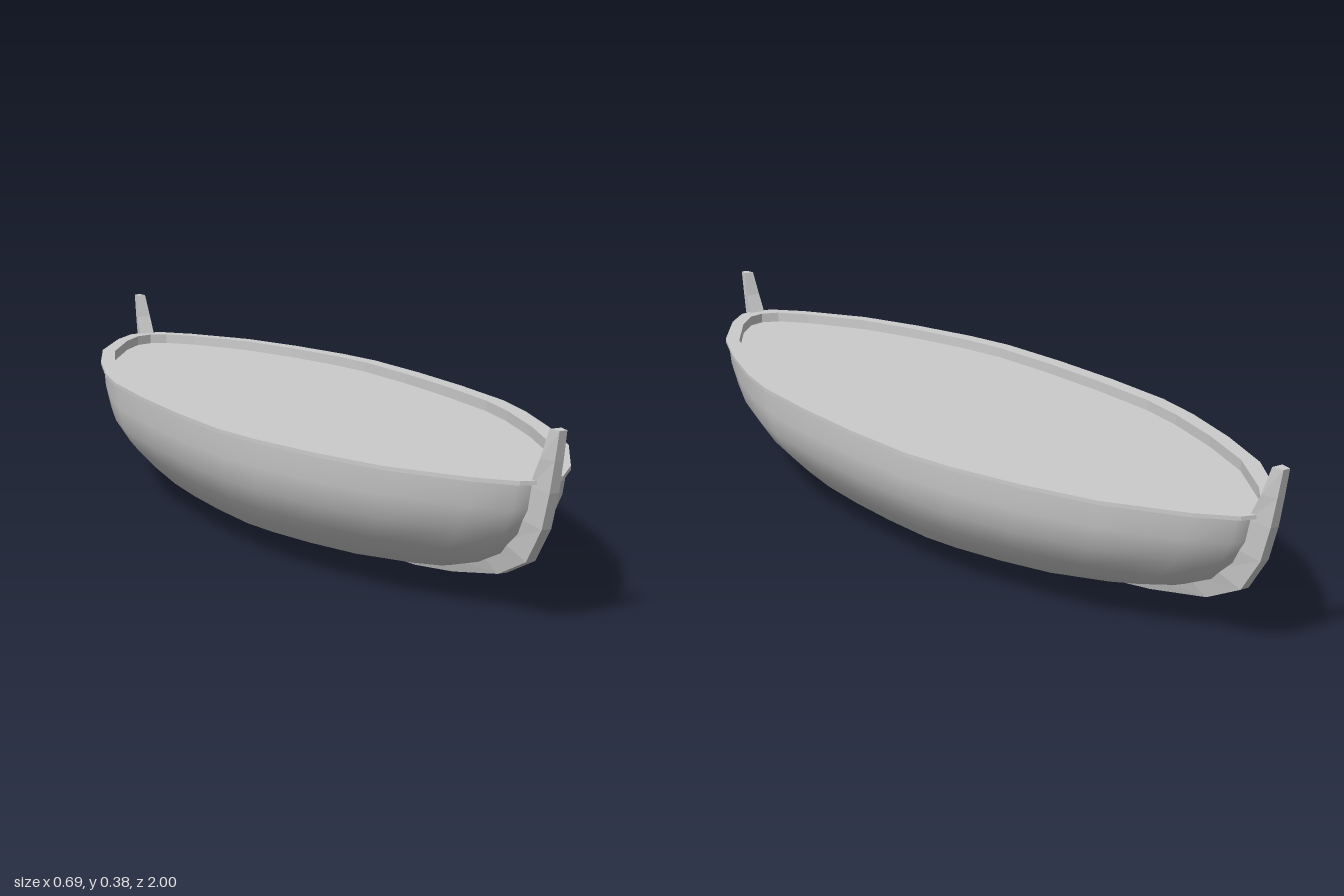
import * as THREE from 'three';

const material = new THREE.MeshStandardMaterial({ color: 0xcccccc });
const flatMaterial = new THREE.MeshStandardMaterial({ color: 0xcccccc, flatShading: true });

// Skin a list of closed rings; the ends may be capped
function loft(rings, capStart, capEnd) {
  const n = rings[0].length;
  const positions = rings.flat(2);
  const index = [];
  for (let r = 0; r < rings.length - 1; r++) {
    for (let i = 0; i < n; i++) {
      const j = (i + 1) % n;
      const a = r * n + i, b = r * n + j, c = a + n, d = b + n;
      index.push(a, b, d, a, d, c);
    }
  }
  const last = (rings.length - 1) * n;
  for (let i = 1; i < n - 1; i++) {
    if (capStart) index.push(0, i + 1, i);
    if (capEnd) index.push(last, last + i, last + i + 1);
  }
  const geometry = new THREE.BufferGeometry();
  geometry.setAttribute('position', new THREE.Float32BufferAttribute(positions, 3));
  geometry.setIndex(index);
  geometry.computeVertexNormals();
  return geometry;
}

// One quarter of the boat outline as fractions of half-width and half-length
const quarter = [[0, 1], [0.13, 0.985], [0.3, 0.92], [0.58, 0.765], [0.76, 0.6],
  [0.9, 0.43], [0.97, 0.3], [1, 0.1]];
const half = [...quarter, ...quarter.map(([u, v]) => [u, -v]).reverse()];
const outline = [...half, ...half.slice(1, -1).reverse().map(([u, v]) => [-u, v])];
const ring = (y, width, length) => outline.map(([u, v]) => [u * width, y, v * length]);

function add(group, name, geometry, mat) {
  const mesh = new THREE.Mesh(geometry, mat);
  mesh.name = name;
  group.add(mesh);
}

export function createModel() {
  const boat = new THREE.Group();
  boat.name = 'boat';

  // Rounded hull, from the flat bottom up to the rim
  const hullRings = [
    [0.02, 0.15, 0.45], [0.035, 0.2, 0.57], [0.05, 0.235, 0.66], [0.085, 0.27, 0.77],
    [0.12, 0.3, 0.845], [0.17, 0.33, 0.9], [0.22, 0.338, 0.93], [0.272, 0.34, 0.943],
  ].map((r) => ring(...r));
  add(boat, 'hull', loft(hullRings), material);
  add(boat, 'hullBottom', loft([hullRings[0], hullRings[0]], true, false), flatMaterial);

  // Flat rim with a short inner wall down to the deck
  const deckY = 0.255;
  const inner = ring(deckY, 0.31, 0.912);
  add(boat, 'rim', loft([
    ring(0.27, 0.335, 0.938), ring(0.27, 0.346, 0.953), ring(0.278, 0.346, 0.953),
    ring(0.278, 0.31, 0.912), inner,
  ]), flatMaterial);
  add(boat, 'deck', loft([inner, inner], false, true), flatMaterial);

  // Keel and end posts: outer z, y, inner z, y, outer and inner half-width
  const keelHalf = [
    [1.0, 0.375, 0.976, 0.375, 0.008, 0.012],
    [0.99, 0.32, 0.958, 0.32, 0.009, 0.018],
    [0.978, 0.26, 0.93, 0.265, 0.01, 0.02],
    [0.957, 0.19, 0.905, 0.2, 0.01, 0.021],
    [0.91, 0.12, 0.85, 0.145, 0.01, 0.022],
    [0.82, 0.075, 0.77, 0.107, 0.01, 0.022],
    [0.66, 0.038, 0.63, 0.066, 0.01, 0.021],
    [0.52, 0.015, 0.5, 0.042, 0.01, 0.02],
    [0.38, 0.002, 0.38, 0.03, 0.01, 0.018],
    [0.25, 0, 0.25, 0.03, 0.01, 0.016],
  ];
  const mirrored = keelHalf.map(([oz, oy, iz, iy, ow, iw]) => [-oz, oy, -iz, iy, ow, iw]).reverse();
  const keelRings = [...keelHalf, ...mirrored].map(([oz, oy, iz, iy, ow, iw]) => [
    [-ow, oy, oz], [-iw, iy, iz], [iw, iy, iz], [ow, oy, oz],
  ]);
  add(boat, 'keelAndPosts', loft(keelRings, true, true), flatMaterial);

  return boat;
}
